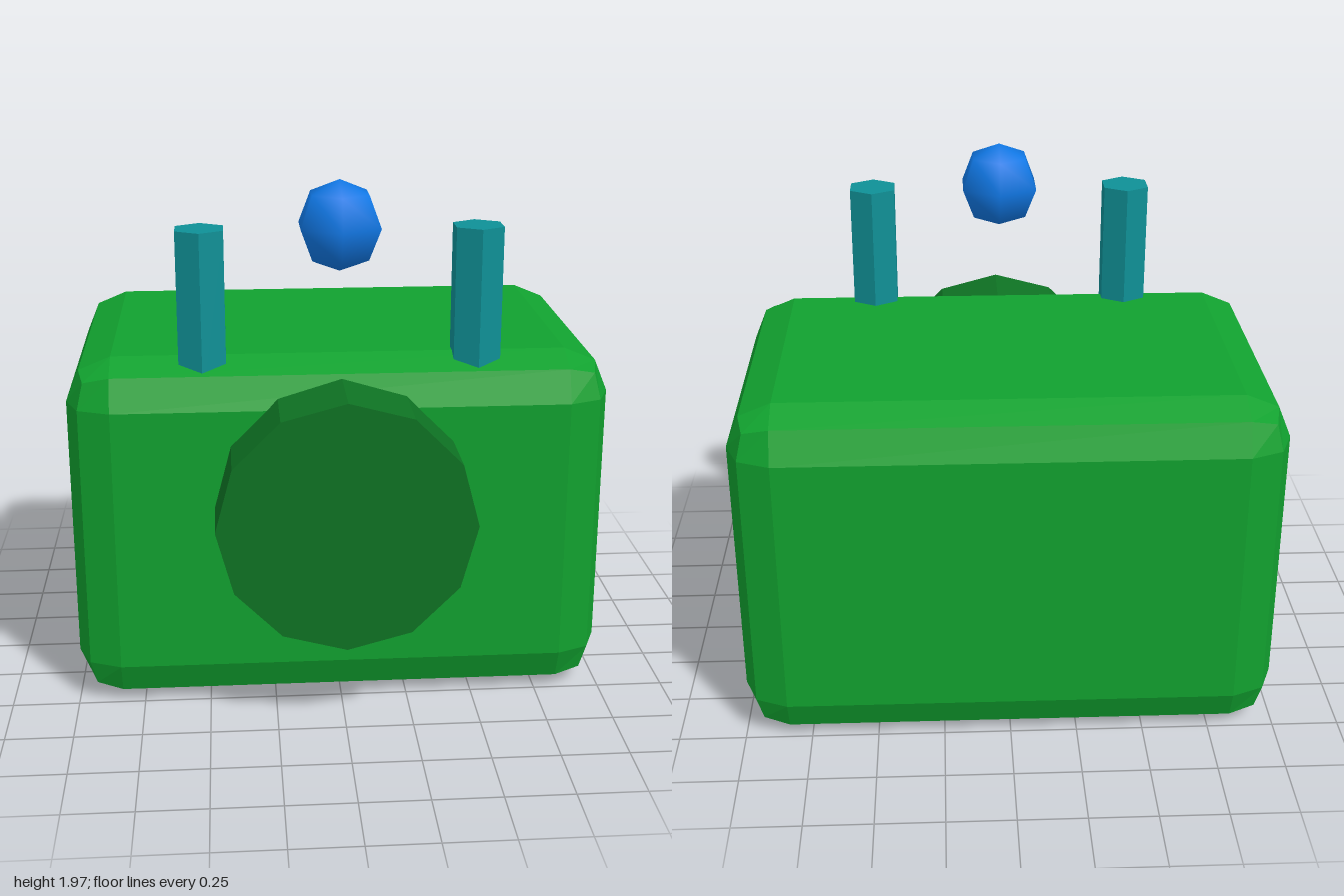
import * as THREE from 'three';
import { RoundedBoxGeometry } from 'three/addons/geometries/RoundedBoxGeometry.js';
import { toCreasedNormals } from 'three/addons/utils/BufferGeometryUtils.js';

const material = (name, color) => {
  const m = new THREE.MeshStandardMaterial({ color });
  m.name = name;
  return m;
};

export function createModel() {
  const group = new THREE.Group();
  const green = material('green', 0x11a12f);
  const darkGreen = material('dark green', 0x0e7223);
  const teal = material('teal', 0x0f9096);
  const blue = material('blue', 0x1078e6);

  const add = (name, geometry, mat, x, y, z) => {
    const mesh = new THREE.Mesh(geometry, mat);
    mesh.name = name;
    mesh.position.set(x, y, z);
    group.add(mesh);
    return mesh;
  };
  // faceted geometry: every face keeps its own normal
  const faceted = (geometry) => toCreasedNormals(geometry, 0.1);

  // body with two-step bevelled edges
  add('body', faceted(new RoundedBoxGeometry(2, 1.335, 1.33, 1, 0.167)), green, 0, 0.6675, -0.125);

  // twelve-sided disc on the front
  const disc = faceted(new THREE.CylinderGeometry(0.466, 0.466, 0.4, 12)).rotateX(Math.PI / 2);
  add('frontDisc', disc, darkGreen, 0, 0.804, 0.59);

  // pair of hexagonal posts
  for (const [name, side] of [['leftPost', 1], ['rightPost', -1]]) {
    const post = faceted(new THREE.CylinderGeometry(0.099, 0.099, 0.6, 6));
    add(name, post, teal, side * 0.5, 1.5, 0.375);
  }

  // ball floating between the posts
  const ball = new THREE.SphereGeometry(0.165, 6, 4).rotateY(Math.PI / 2);
  add('ball', ball, blue, 0, 1.804, 0.375);

  return group;
}
